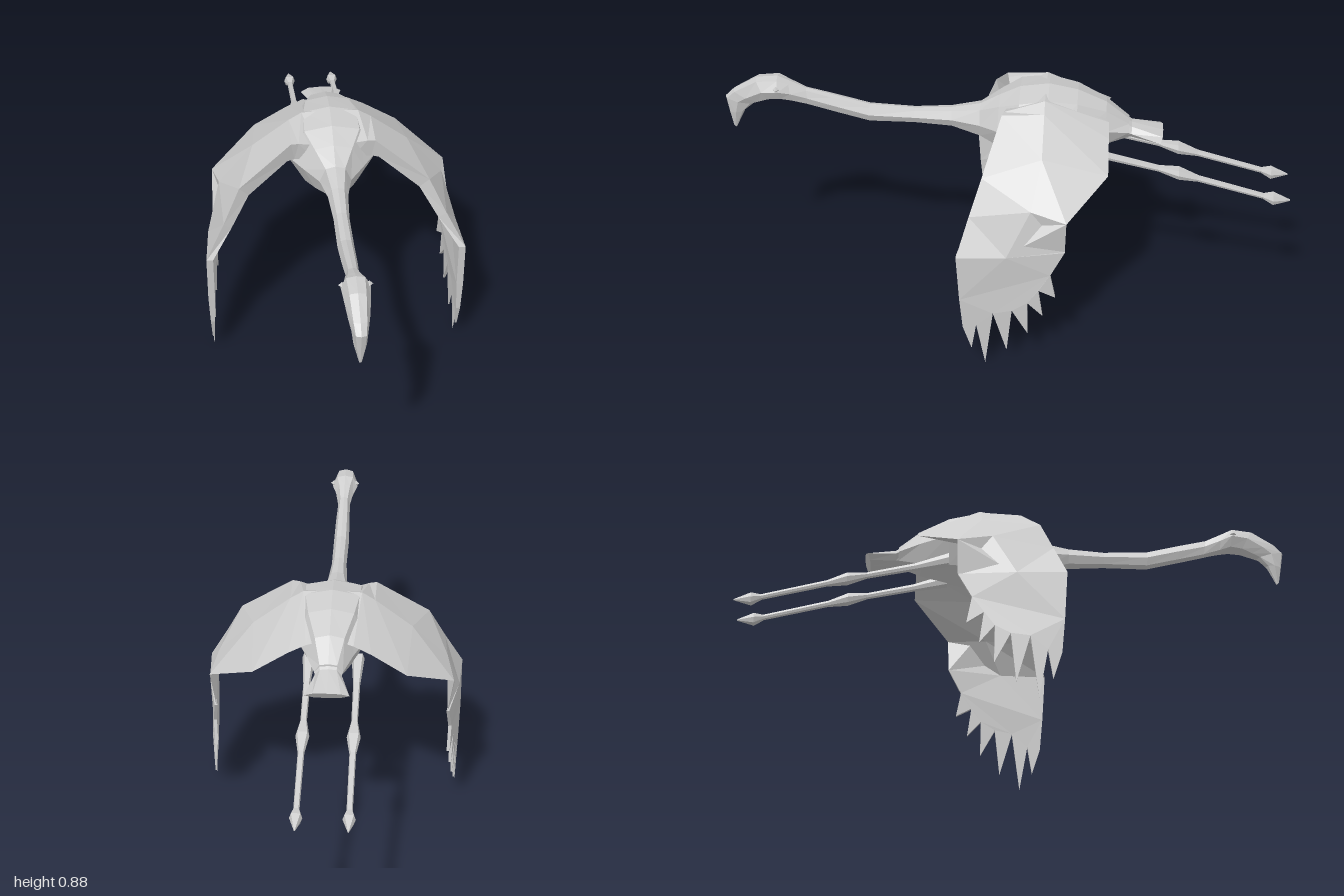
import * as THREE from 'three';

const material = new THREE.MeshStandardMaterial({ color: 0xcccccc, flatShading: true, side: THREE.DoubleSide });

function addMesh(parent, geometry, name) {
  const mesh = new THREE.Mesh(geometry, material);
  mesh.name = name;
  parent.add(mesh);
  return mesh;
}

// Skin a closed surface over a list of rings with equal point counts
function loft(rings) {
  const pos = [];
  const tri = (...pts) => pts.forEach((p) => pos.push(...p));
  const n = rings[0].length;
  for (let i = 0; i < rings.length - 1; i++) {
    for (let j = 0; j < n; j++) {
      const k = (j + 1) % n;
      const a = rings[i][j], b = rings[i][k], c = rings[i + 1][k], d = rings[i + 1][j];
      tri(a, b, d);
      tri(b, c, d);
    }
  }
  const first = rings[0], last = rings[rings.length - 1];
  for (let j = 1; j < n - 1; j++) {
    tri(first[0], first[j + 1], first[j]);
    tri(last[0], last[j], last[j + 1]);
  }
  const g = new THREE.BufferGeometry();
  g.setAttribute('position', new THREE.Float32BufferAttribute(pos, 3));
  g.computeVertexNormals();
  return g;
}

// Copy of a non-indexed geometry reflected in x, with the corner order restored
function mirrored(geometry) {
  const p = geometry.attributes.position, pos = [];
  for (let i = 0; i < p.count; i += 3) {
    for (const k of [i, i + 2, i + 1]) pos.push(-p.getX(k), p.getY(k), p.getZ(k));
  }
  const g = new THREE.BufferGeometry();
  g.setAttribute('position', new THREE.Float32BufferAttribute(pos, 3));
  g.computeVertexNormals();
  return g;
}

// Eight-sided cross-section between a top and a bottom point
const PROFILE = [[0, 0], [0.62, 0.07], [1, 0.47], [0.62, 0.88], [0, 1], [-0.62, 0.88], [-1, 0.47], [-0.62, 0.07]];
const section = ([zTop, yTop, zBot, yBot, w]) => PROFILE.map(([x, t]) =>
  [x * w, yTop + (yBot - yTop) * t, zTop + (zBot - zTop) * t]);

// Rows: z top, y top, z bottom, y bottom, half width
const HEAD = [
  [0.98, 0.672, 0.97, 0.663, 0.004],
  [0.99, 0.73, 0.935, 0.735, 0.021],
  [1.0, 0.79, 0.9, 0.765, 0.027],
  [0.97, 0.82, 0.87, 0.775, 0.034],
  [0.885, 0.87, 0.84, 0.785, 0.043],
  [0.81, 0.877, 0.8, 0.79, 0.048],
  [0.77, 0.86, 0.76, 0.78, 0.033],
  [0.71, 0.832, 0.7, 0.765, 0.022],
];
const NECK = [
  [0.72, 0.835, 0.71, 0.767, 0.022],
  [0.62, 0.81, 0.6, 0.738, 0.026],
  [0.49, 0.776, 0.49, 0.71, 0.028],
  [0.33, 0.768, 0.33, 0.711, 0.027],
  [0.2, 0.776, 0.2, 0.703, 0.035],
  [0.1, 0.795, 0.1, 0.668, 0.055],
];
const BODY = [
  [0.1, 0.795, 0.1, 0.668, 0.055],
  [0.03, 0.835, 0.04, 0.642, 0.105],
  [-0.04, 0.87, -0.04, 0.614, 0.155],
  [-0.14, 0.885, -0.14, 0.618, 0.15],
  [-0.24, 0.865, -0.24, 0.636, 0.125],
  [-0.34, 0.82, -0.34, 0.658, 0.08],
  [-0.42, 0.755, -0.42, 0.69, 0.048],
];
const TAIL = [
  [-0.38, 0.775, -0.4, 0.69, 0.055],
  [-0.43, 0.742, -0.43, 0.692, 0.045],
  [-0.54, 0.714, -0.52, 0.685, 0.075],
];

// Wing stations from shoulder to wrist: lower middle, rear edge, upper middle, upper front, lower front
const WING = [
  [[0.05, 0.78, -0.12], [0.03, 0.79, -0.33], [0.04, 0.874, -0.13], [0.06, 0.82, 0], [0.07, 0.765, 0]],
  [[0.12, 0.75, -0.12], [0.08, 0.785, -0.35], [0.1, 0.872, -0.13], [0.12, 0.835, 0.01], [0.135, 0.765, 0]],
  [[0.17, 0.735, -0.12], [0.14, 0.755, -0.352], [0.145, 0.844, -0.13], [0.147, 0.837, 0.015], [0.16, 0.765, 0.01]],
  [[0.27, 0.685, -0.12], [0.26, 0.68, -0.355], [0.275, 0.745, -0.13], [0.333, 0.7, 0.07], [0.3, 0.66, 0.055]],
  [[0.37, 0.57, -0.08], [0.422, 0.586, -0.222], [0.4, 0.615, -0.1], [0.392, 0.58, 0.11], [0.365, 0.555, 0.1]],
  [[0.429, 0.455, -0.02], [0.403, 0.46, -0.218], [0.447, 0.455, -0.02], [0.459, 0.455, 0.15], [0.435, 0.455, 0.15]],
];

// Outer wing outline (z, y) with the split feather tips
const FEATHERS = [
  [0.15, 0.455], [0.14, 0.28], [0.13, 0.16], [0.1, 0.065], [0.083, 0.17], [0.053, 0],
  [0.025, 0.22], [-0.022, 0.055], [-0.04, 0.23], [-0.095, 0.125], [-0.093, 0.26],
  [-0.145, 0.2], [-0.13, 0.31], [-0.188, 0.275], [-0.17, 0.37], [-0.218, 0.46], [-0.02, 0.455],
];

function featherGeometry() {
  const shape = new THREE.Shape(FEATHERS.map(([z, y]) => new THREE.Vector2(-z, y)));
  const g = new THREE.ExtrudeGeometry(shape, { depth: 1, bevelEnabled: false });
  const p = g.attributes.position;
  // Stand the panel upright, curve it inward to the rear, thin it towards the tips
  for (let i = 0; i < p.count; i++) {
    const z = -p.getX(i), y = p.getY(i), side = p.getZ(i) - 0.5;
    const t = Math.max(0, (0.15 - z) / 0.37);
    const thick = 0.024 * Math.min(1, 0.1 + y / 0.3) * (1 - 0.6 * t);
    p.setXYZ(i, 0.447 - 0.043 * t ** 2 + side * thick, y, z);
  }
  g.computeVertexNormals();
  return g;
}

// Leg rows: z, y, half width, half height
const LEG = [
  [-0.24, 0.675, 0.022, 0.02], [-0.36, 0.642, 0.012, 0.011], [-0.53, 0.602, 0.011, 0.009],
  [-0.6, 0.586, 0.023, 0.018], [-0.67, 0.566, 0.011, 0.009], [-0.91, 0.501, 0.01, 0.008],
];
const FOOT = [
  [-0.9, 0.503, 0.01, 0.008], [-0.935, 0.495, 0.021, 0.019], [-0.995, 0.49, 0.002, 0.002],
];
const hexagon = ([z, y, w, h]) =>
  [[0.7, 1], [1, 0], [0.7, -1], [-0.7, -1], [-1, 0], [-0.7, 1]].map(([u, v]) => [u * w, y + v * h, z]);

export function createModel() {
  const model = new THREE.Group();
  model.name = 'flyingBird';

  addMesh(model, loft(HEAD.map(section)), 'headAndBeak');
  addMesh(model, loft(NECK.map(section)), 'neck');
  addMesh(model, loft(BODY.map(section)), 'body');
  addMesh(model, loft(TAIL.map(section)), 'tail');

  // Wings, mirrored
  const wing = loft(WING), feathers = featherGeometry();
  addMesh(model, wing, 'leftWing');
  addMesh(model, feathers, 'leftWingFeathers');
  addMesh(model, mirrored(wing), 'rightWing');
  addMesh(model, mirrored(feathers), 'rightWingFeathers');

  // Eyes and trailing legs
  for (const [side, sign, x] of [['left', 1, 0.076], ['right', -1, -0.092]]) {
    const eye = addMesh(model, new THREE.OctahedronGeometry(0.012), side + 'Eye');
    eye.position.set(sign * 0.043, 0.845, 0.81);

    const leg = new THREE.Group();
    leg.name = side + 'Leg';
    leg.position.x = x;
    addMesh(leg, loft(LEG.map(hexagon)), 'shank');
    addMesh(leg, loft(FOOT.map(hexagon)), 'foot');
    model.add(leg);
  }
  return model;
}
